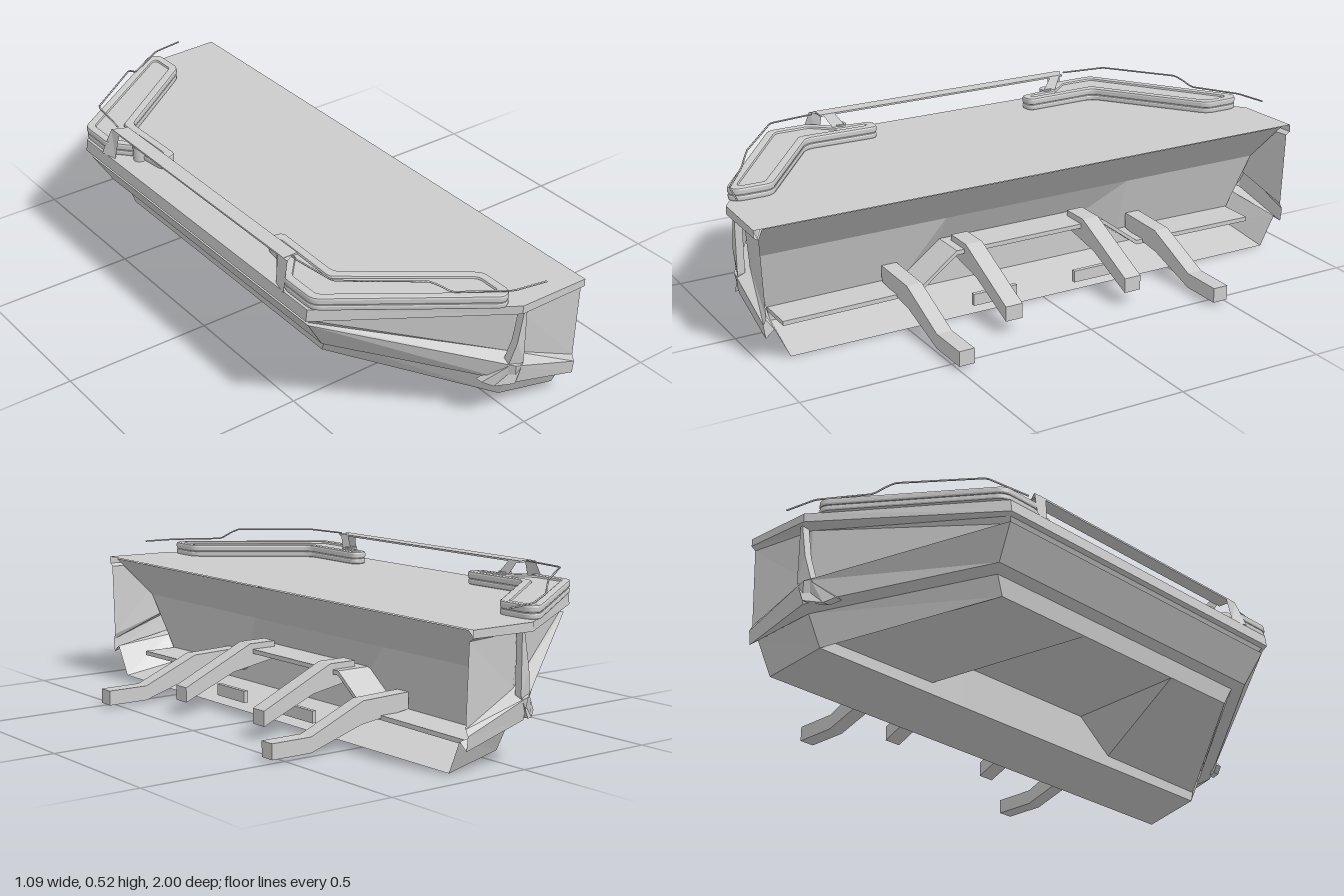
import * as THREE from 'three';

const V = (a) => new THREE.Vector3(...a);
const mat = new THREE.MeshStandardMaterial({ color: 0xcccccc, side: THREE.DoubleSide });
const flat = new THREE.MeshStandardMaterial({ color: 0xcccccc, side: THREE.DoubleSide, flatShading: true });

// Surface through a list of sections, each a list of [x, y, z] points
function loft(sections) {
  const n = sections[0].length, pos = sections.flat(2), index = [];
  for (let s = 0; s < sections.length - 1; s++) {
    for (let r = 0; r < n - 1; r++) {
      const a = s * n + r, b = a + n;
      index.push(a, a + 1, b, b, a + 1, b + 1);
    }
  }
  const g = new THREE.BufferGeometry();
  g.setAttribute('position', new THREE.Float32BufferAttribute(pos, 3));
  g.setIndex(index);
  const out = g.toNonIndexed();
  out.computeVertexNormals();
  return out;
}

// Full set of sections from the left half
const flip = (section) => section.map(([x, y, z]) => [x, y, -z]);
const bothSides = (half) => [...half, ...half.map(flip).reverse()];

// Closed shape from [x, y] points
const shapeOf = (pts) => new THREE.Shape(pts.map(([x, y]) => new THREE.Vector2(x, y)));

// Outline in x and z, raised from y0 by height h
function slab(shape, y0, h, bevel) {
  const g = new THREE.ExtrudeGeometry(shape, {
    depth: Math.max(h - 2 * bevel, 0.001), bevelEnabled: bevel > 0, bevelSize: bevel,
    bevelThickness: bevel, bevelOffset: -bevel, bevelSegments: 2,
  });
  g.rotateX(Math.PI / 2);
  g.translate(0, y0 + h - bevel, 0);
  return g;
}

// Outline with its corners rounded by quadratic curves
function rounded(pts, t, Type = THREE.Shape) {
  const s = new Type(), n = pts.length;
  const toward = (a, b) => {
    const d = Math.hypot(b[0] - a[0], b[1] - a[1]), k = Math.min(t / d, 0.45);
    return [a[0] + (b[0] - a[0]) * k, a[1] + (b[1] - a[1]) * k];
  };
  pts.forEach((p, i) => {
    const a = toward(p, pts[(i + n - 1) % n]), b = toward(p, pts[(i + 1) % n]);
    if (i === 0) s.moveTo(...a); else s.lineTo(...a);
    s.quadraticCurveTo(p[0], p[1], ...b);
  });
  s.closePath();
  return s;
}

export function createModel() {
  const root = new THREE.Group();
  const add = (name, geometry, material = mat, parent = root) => {
    const m = new THREE.Mesh(geometry, material);
    m.name = name;
    parent.add(m);
    return m;
  };

  // Outer skin: rim, recess, sloping strip and lower skirt at each station
  const back = [[0.21, 0.44, 1], [0.21, 0.415, 1], [0.21, 0.405, 0.985], [0.21, 0.15, 0.975],
    [0.21, 0.13, 0.985], [0.21, 0.085, 0.98], [0.21, 0.11, 0.95], [0.205, 0.005, 0.9]];
  const corner = [[-0.03, 0.438, 0.993], [-0.03, 0.41, 0.993], [-0.015, 0.405, 0.945], [-0.01, 0.235, 0.935],
    [-0.03, 0.215, 0.98], [-0.02, 0.145, 0.97], [0, 0.135, 0.93], [0, 0.04, 0.88]];
  const nose = [[-0.54, 0.435, 0.63], [-0.545, 0.395, 0.63], [-0.53, 0.388, 0.62], [-0.52, 0.37, 0.61],
    [-0.53, 0.37, 0.62], [-0.465, 0.265, 0.6], [-0.43, 0.25, 0.57], [-0.42, 0.19, 0.54]];
  const stations = [back, corner, nose];
  add('bumperSkin', loft(bothSides(stations)), flat);
  add('topLid', loft(stations.map((s) => [s[0], flip(s)[0]])), flat);

  // Bottom lip under the back opening
  add('bottomLip', loft([back, corner].map((s) => [s[7], flip(s)[7]])), flat);

  // Underside with a raised tunnel in the middle, and the wall above it
  const stepLine = [[0.89, 0.075], [0.42, 0.08], [0.28, 0.185]];
  add('underside', loft(bothSides(stepLine.map(([z, y]) => [[0, y, z], [-0.42, 0.19, z * 0.607]]))), flat);
  add('backWall', loft(bothSides([
    [[0.2, 0.435, 0.97], [0.06, 0.29, 0.95], [0.0, 0.075, 0.89], [0, 0.04, 0.88]],
    ...stepLine.slice(1).map(([z, y]) => [[0.2, 0.435, z], [0.06, 0.29, z], [0, y, z], [0, 0.04, z]]),
  ])), flat);

  // Stepped shelf standing out from the wall
  const shelfLine = bothSides([stepLine.map(([z, y]) => [0, y, z])]);
  const shelfTop = [...shelfLine[0], ...shelfLine[1].reverse()].map(([, y, z]) => [z, y]);
  const shelf = new THREE.ExtrudeGeometry(
    shapeOf([...shelfTop, ...shelfTop.map(([z, y]) => [z, y + 0.015]).reverse()]),
    { depth: 0.13, bevelEnabled: false });
  shelf.rotateY(Math.PI / 2);
  add('steppedShelf', shelf, flat);

  // Side outlines
  const trimOuter = [[-0.45, 0.295], [-0.39, 0.3], [-0.395, 0.565], [-0.045, 0.83], [-0.045, 0.95],
    [-0.08, 0.972], [-0.535, 0.645], [-0.535, 0.5], [-0.465, 0.42]];
  const trimInner = [[-0.435, 0.33], [-0.42, 0.33], [-0.425, 0.58], [-0.075, 0.845], [-0.075, 0.925],
    [-0.09, 0.93], [-0.505, 0.63], [-0.505, 0.51], [-0.435, 0.43]];
  const rim = rounded(trimOuter, 0.025);
  rim.holes.push(rounded(trimInner, 0.015, THREE.Path));
  const outerArm = shapeOf([[0.02, 0.155], [0.2, 0.15], [0.4, 0.065], [0.545, 0.065],
    [0.545, 0.015], [0.4, 0.015], [0.21, 0.075], [0.02, 0.1]]);
  const innerArm = shapeOf([[0.04, 0.22], [0.14, 0.22], [0.4, 0.1], [0.4, 0.05], [0.21, 0.13], [0.04, 0.16]]);

  for (const side of [1, -1]) {
    const half = new THREE.Group();
    half.name = side > 0 ? 'leftParts' : 'rightParts';
    half.scale.z = side;
    root.add(half);
    const part = (name, g, m = mat) => add(name, g, m, half);

    // Raised trim on the lid, with a rim round a lower pad
    part('trimBase', slab(rounded(trimOuter, 0.03), 0.436, 0.02, 0.006));
    part('trimRim', slab(rim, 0.455, 0.025, 0.007));
    part('trimPad', slab(rounded(trimInner, 0.01), 0.45, 0.022, 0));

    // Mounting arms
    for (const [name, shape, z, w] of [['outerArm', outerArm, 0.445, 0.053], ['innerArm', innerArm, 0.193, 0.06]]) {
      const g = new THREE.ExtrudeGeometry(shape, { depth: w, bevelEnabled: false });
      g.translate(0, 0, z);
      part(name, g, flat);
    }
    const pad = new THREE.BoxGeometry(0.015, 0.04, 0.16);
    pad.translate(0.217, 0.06, 0.19);
    part('mountingPad', pad, flat);

    // Thin guard wire along the upper edge
    const wire = new THREE.CurvePath();
    const line = [[-0.49, 0.525, 0.5], [-0.47, 0.525, 0.66], [-0.25, 0.525, 0.83], [-0.225, 0.51, 0.85],
      [-0.2, 0.49, 0.87], [-0.05, 0.488, 0.97], [0.06, 0.487, 0.99]].map(V);
    for (let i = 0; i < line.length - 1; i++) wire.add(new THREE.LineCurve3(line[i], line[i + 1]));
    part('guardWire', new THREE.TubeGeometry(wire, 48, 0.003, 5));

    // Bracket carrying the front bar
    part('barBracket', loft([
      [[-0.545, 0.435, 0.52], [-0.53, 0.435, 0.46]],
      [[-0.515, 0.525, 0.5], [-0.515, 0.525, 0.45]],
      [[-0.465, 0.525, 0.47], [-0.465, 0.525, 0.43]],
      [[-0.45, 0.475, 0.44], [-0.45, 0.475, 0.39]],
    ]), flat);
    const knob = new THREE.CylinderGeometry(0.022, 0.022, 0.05, 12);
    knob.translate(-0.465, 0.46, 0.41);
    part('bracketFoot', knob);

    // Corner fender lip that follows the skin round and curls under the strip
    const lip = [[-0.01, 0.41], [-0.03, 0.3], [-0.05, 0.21], [-0.11, 0.155], [-0.08, 0.14], [-0.03, 0.15], [0, 0.22], [0, 0.41]];
    const fender = new THREE.ExtrudeGeometry(shapeOf(lip), { depth: 0.025, bevelEnabled: false });
    const p = fender.attributes.position;
    for (let i = 0; i < p.count; i++) p.setZ(i, p.getZ(i) + 0.955 + Math.min(0, p.getX(i) + 0.03) * 0.75);
    part('fenderLip', fender, flat);
  }

  // Front bar between the brackets
  const bar = new THREE.BoxGeometry(0.05, 0.006, 0.96);
  bar.translate(-0.49, 0.523, 0);
  add('frontBar', bar);

  return root;
}
